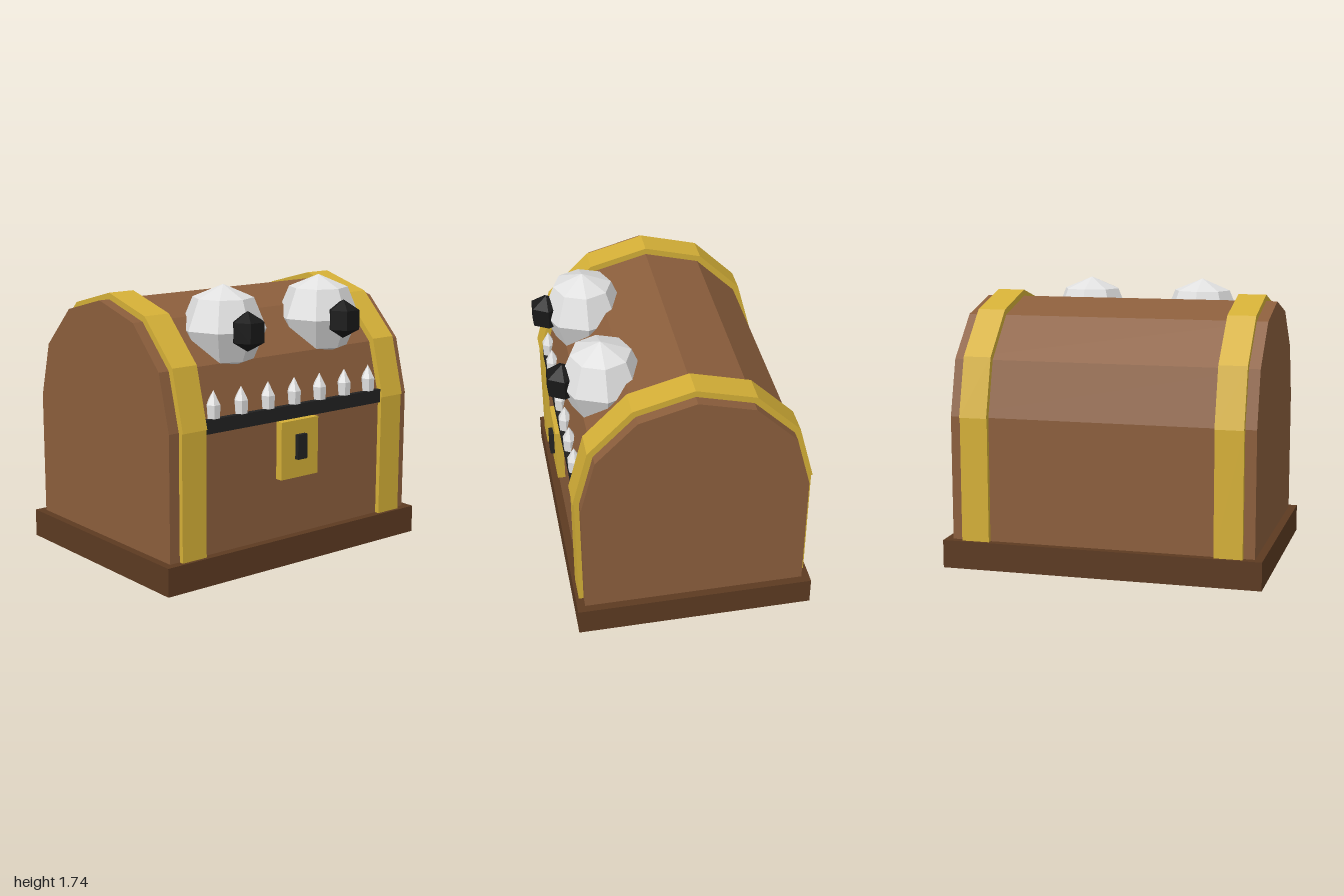
import * as THREE from 'three';

const mat = (name, color, flatShading = true) => {
  const m = new THREE.MeshStandardMaterial({ color, flatShading });
  m.name = name;
  return m;
};

export function createModel() {
  const wood = mat('wood', 0x8b5e3c);
  const darkWood = mat('dark wood', 0x5c3a21);
  const gold = mat('gold', 0xd4af37);
  const iron = mat('dark iron', 0x222222);
  const black = mat('pupil black', 0x181818);
  const white = mat('bone white', 0xe0e0e0);

  const chest = new THREE.Group();
  chest.name = 'chest';
  const CZ = -0.025; // middle of the chest in depth
  const SPRING = 0.95; // height where the curved lid starts

  const add = (name, geometry, material, x = 0, y = 0, z = 0) => {
    const mesh = new THREE.Mesh(geometry, material);
    mesh.name = name;
    mesh.position.set(x, y, z);
    chest.add(mesh);
    return mesh;
  };
  const box = (name, material, w, y0, y1, z0, z1, x = 0) =>
    add(name, new THREE.BoxGeometry(w, y1 - y0, z1 - z0), material, x, (y0 + y1) / 2, (z0 + z1) / 2);

  // Six-sided half round, extruded along x
  const arch = (name, material, radius, width, x) => {
    const points = [];
    for (let i = 0; i <= 6; i++) {
      const a = (i * Math.PI) / 6;
      points.push(new THREE.Vector2(radius * Math.cos(a), radius * Math.sin(a)));
    }
    const geo = new THREE.ExtrudeGeometry(new THREE.Shape(points), { depth: width, bevelEnabled: false });
    geo.translate(0, 0, -width / 2);
    geo.rotateY(Math.PI / 2);
    return add(name, geo, material, x, SPRING, CZ);
  };

  // Base, body and lid
  box('base', darkWood, 2, 0, 0.175, CZ - 0.74, CZ + 0.74);
  box('body', wood, 1.9, 0.175, SPRING, CZ - 0.69, CZ + 0.69);
  arch('lid', wood, 0.69, 1.9, 0);

  // Gold straps
  for (const side of [-1, 1]) {
    const x = side * 0.793;
    arch('lidStrap', gold, 0.73, 0.175, x);
    box('bodyStrap', gold, 0.175, 0.175, SPRING, CZ - 0.72, CZ + 0.72, x);
  }

  // Mouth strip, lock plate and keyhole
  box('mouth', iron, 1.41, 0.915, 1.0, 0.6, 0.685);
  box('lockPlate', gold, 0.295, 0.55, 0.91, 0.65, 0.713);
  box('keyhole', iron, 0.074, 0.667, 0.822, 0.7, 0.74);

  // Row of teeth
  const toothProfile = [[0, 0.98], [0.042, 1.0], [0.045, 1.08], [0, 1.165]]
    .map(([r, y]) => new THREE.Vector2(r, y));
  const toothGeo = new THREE.LatheGeometry(toothProfile, 6, Math.PI / 6);
  for (let i = -3; i <= 3; i++) add('tooth', toothGeo, white, i * 0.207, 0, 0.652);

  // Eyes
  const eyeGeo = new THREE.SphereGeometry(0.26, 8, 4);
  const pupilGeo = new THREE.SphereGeometry(0.12, 6, 3);
  for (const side of [-1, 1]) {
    add('eyeball', eyeGeo, white, side * 0.38, 1.48, 0.44);
    add('pupil', pupilGeo, black, side * 0.38, 1.485, 0.672);
  }
  return chest;
}
